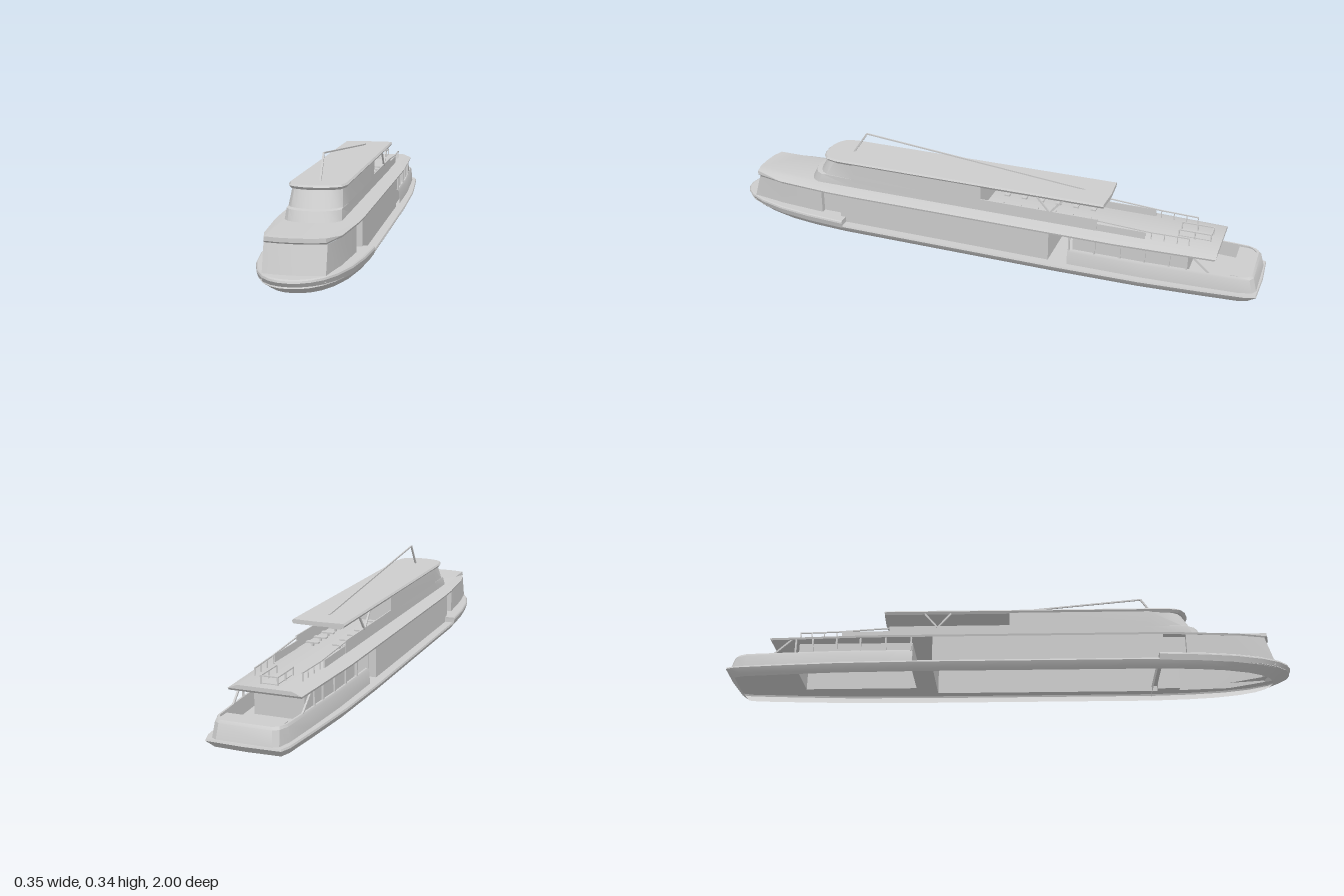
import * as THREE from 'three';
import { toCreasedNormals } from 'three/addons/utils/BufferGeometryUtils.js';

export function createModel() {
  const model = new THREE.Group();
  const grey = new THREE.MeshStandardMaterial({ color: 0xcccccc, side: THREE.DoubleSide });
  grey.name = 'light grey';

  function add(name, geometry, parent = model) {
    const mesh = new THREE.Mesh(geometry, grey);
    mesh.name = name;
    parent.add(mesh);
    return mesh;
  }
  function group(name) {
    const g = new THREE.Group();
    g.name = name;
    model.add(g);
    return g;
  }
  // half outline [x, z] running bow to stern -> full outline, mirrored in x
  const mirror = half => [...half, ...half.filter(p => p[0] > 0).reverse().map(([x, z]) => [-x, z])];
  // surface through outlines at rising heights: levels = [[y, outline], ...]
  function loft(levels, { closed = true, bottom = false, top = false } = {}) {
    const n = levels[0][1].length, pos = [], idx = [];
    for (const [y, ring] of levels) for (const [x, z] of ring) pos.push(x, y, z);
    for (let l = 0; l < levels.length - 1; l++)
      for (let i = 0; i < (closed ? n : n - 1); i++) {
        const a = l * n + i, b = l * n + (i + 1) % n;
        idx.push(a, b, a + n, b, b + n, a + n);
      }
    const cap = l => {
      const pts = levels[l][1].map(([x, z]) => new THREE.Vector2(x, z));
      const dir = THREE.ShapeUtils.isClockWise(pts) === (l === 0) ? 1 : -1;
      for (const t of THREE.ShapeUtils.triangulateShape(pts, []))
        idx.push(...(dir > 0 ? t : [t[0], t[2], t[1]]).map(i => i + l * n));
    };
    if (bottom) cap(0);
    if (top) cap(levels.length - 1);
    const g = new THREE.BufferGeometry();
    g.setAttribute('position', new THREE.Float32BufferAttribute(pos, 3));
    g.setIndex(idx);
    return toCreasedNormals(g, 0.45);
  }
  // flat horizontal plate with holes
  function plate(outline, holes, y) {
    const v = pts => pts.map(([x, z]) => new THREE.Vector2(x, -z));
    const s = new THREE.Shape(v(outline));
    for (const h of holes) s.holes.push(new THREE.Path(v(h)));
    return new THREE.ShapeGeometry(s).rotateX(-Math.PI / 2).translate(0, y, 0);
  }
  function box(name, w, h, d, x, y, z, parent) {
    return add(name, new THREE.BoxGeometry(w, h, d).translate(x, y, z), parent);
  }
  // square bar between two points
  function bar(name, a, b, t, parent) {
    const p = new THREE.Vector3(...a), q = new THREE.Vector3(...b);
    const m = add(name, new THREE.BoxGeometry(t, t, p.distanceTo(q)), parent);
    m.position.copy(p).add(q).multiplyScalar(0.5);
    m.lookAt(q);
  }

  // hull shell, open underneath
  const bow = [[0, 1], [0.03, 0.995], [0.06, 0.978], [0.09, 0.945], [0.12, 0.885], [0.147, 0.79], [0.164, 0.67], [0.174, 0.52]];
  const hull = [...bow.slice(0, -1).map(([x, z]) => [x * 0.97, z - 0.006]), [0.168, 0.52], [0.168, -0.3],
    [0.162, -0.6], [0.148, -0.8], [0.134, -0.96], [0.122, -0.995], [0, -1]];
  const shrink = (half, kx, kz) => half.map(([x, z]) => [x * kx, z > 0.5 ? 0.5 + (z - 0.5) * kz : z < -0.5 ? -0.5 + (z + 0.5) * (kz + 1) / 2 : z]);
  add('hull', loft([[0, mirror(shrink(hull, 0.88, 0.88))], [0.008, mirror(shrink(hull, 0.93, 0.91))],
    [0.027, mirror(hull)], [0.033, mirror(shrink(hull, 0.985, 0.99))]]));

  // raised bow rim
  add('bowRim', loft([[0.024, mirror(shrink(bow, 0.97, 0.97))], [0.034, mirror(shrink(bow, 0.985, 0.985))], [0.044, mirror(bow)],
    [0.05, mirror(shrink(bow, 0.99, 0.995))], [0.053, mirror(shrink(bow, 0.97, 0.98))]]));

  // main cabin with entrance recesses on both sides
  const cabin = front => mirror([[0, front], [0.05, front - 0.004], [0.094, front - 0.014], [0.115, 0.8], [0.129, 0.62],
    [0.11, 0.62], [0.11, 0.54], [0.135, 0.54], [0.135, -0.27], [0, -0.27]]);
  add('mainCabin', loft([[0.033, cabin(0.947)], [0.138, cabin(0.915)]]));

  // decks
  const house = mirror([[0.085, -0.345], [0.085, -0.75]]);
  const aftHull = mirror(shrink(hull, 0.985, 0.99));
  add('mainDeck', plate(aftHull, [cabin(0.947), house], 0.033));
  const foreDeck = mirror(shrink(bow, 0.97, 0.98));
  const foreCabin = mirror([[0, 0.942], [0.05, 0.938], [0.094, 0.928], [0.115, 0.8], [0.129, 0.62], [0.11, 0.62], [0.11, 0.54]]);
  add('foreDeck', plate(foreDeck, [foreCabin], 0.053));

  // aft house and bulwark
  add('aftHouse', loft([[0.033, house], [0.138, house]]));
  const rail = (dx, back) => {
    const h = [[0.14 - dx, -0.34], [0.138 - dx, -0.6], [0.128 - dx, -0.8], [0.12 - dx, -0.93], [0.108 - dx, back + 0.012], [0.09 - dx, back]];
    return [...h, ...h.slice().reverse().map(([x, z]) => [-x, z])];
  };
  add('sternBulwark', loft([[0.033, rail(0, -0.99)], [0.08, rail(0.004, -0.977)], [0.088, rail(0.008, -0.97)],
    [0.088, rail(0.014, -0.962)], [0.033, rail(0.014, -0.962)]], { closed: false }));
  box('sternLocker', 0.2, 0.052, 0.062, 0, 0.059, -0.931);

  // roof of the main cabin, reaching aft as the open deck
  const eave = [[0, 0.925], [0.05, 0.922], [0.092, 0.91], [0.118, 0.8], [0.134, 0.6], [0.137, 0.5], [0.137, -0.5], [0.122, -0.85], [0, -0.85]];
  const crown = eave.map(([x, z]) => [Math.min(x, 0.09), z]);
  add('mainRoof', loft([[0.137, mirror(shrink(eave, 0.985, 0.97))], [0.144, mirror(eave)], [0.157, mirror(crown)]],
    { bottom: true, top: true }));

  // upper cabin with stepped, raked, rounded front
  const upper = (front, w) => mirror([[0, front], [w * 0.3, front - 0.003], [w * 0.6, front - 0.012], [w * 0.85, front - 0.027],
    [w, front - 0.05], [0.09, 0.5], [0.09, 0], [0, 0]]);
  add('upperCabin', loft([[0.155, upper(0.703, 0.09)], [0.19, upper(0.685, 0.087)], [0.193, upper(0.664, 0.086)],
    [0.25, upper(0.63, 0.08)]]));
  const top = [[0, 0.645], [0.03, 0.642], [0.06, 0.632], [0.083, 0.614], [0.094, 0.57], [0.094, -0.45], [0, -0.455]];
  add('upperRoof', loft([[0.247, mirror(shrink(top, 0.94, 0.93))], [0.256, mirror(top)], [0.262, mirror(shrink(top, 0.95, 0.96))]],
    { bottom: true, top: true }));

  // mast and long stay
  const mast = group('mast');
  bar('mastPole', [0, 0.258, 0.54], [0, 0.342, 0.482], 0.006, mast);
  bar('mastStay', [0, 0.342, 0.482], [0, 0.262, -0.36], 0.005, mast);

  // paired side fittings
  for (const s of [1, -1]) {
    const side = group(s > 0 ? 'leftFittings' : 'rightFittings');
    box('upperBulwark', 0.004, 0.045, 0.43, s * 0.088, 0.178, -0.215, side);
    box('lowBulwark', 0.004, 0.028, 0.17, s * 0.086, 0.169, -0.515, side);
    bar('handRail', [s * 0.086, 0.195, -0.43], [s * 0.083, 0.184, -0.62], 0.004, side);
    bar('aftRail', [s * 0.083, 0.184, -0.62], [s * 0.078, 0.183, -0.75], 0.004, side);
    for (const z of [-0.62, -0.665, -0.71, -0.75]) bar('railPost', [s * 0.08, 0.155, z], [s * 0.08, 0.184, z], 0.003, side);
    // V struts under the roof
    for (const z of [-0.21, -0.305]) bar('roofStrut', [s * 0.088, 0.195, -0.258], [s * 0.088, 0.25, z], 0.006, side);
    // posts along the open aft gallery
    const posts = [-0.345, -0.435, -0.525, -0.61, -0.695, -0.755];
    posts.forEach((z, i) => bar('galleryPost', [s * (0.132 - i * 0.0025), 0.086, z], [s * (0.132 - i * 0.0025), 0.14, z], 0.006, side));
    bar('aftBrace', [s * 0.115, 0.086, -0.83], [s * 0.117, 0.14, -0.77], 0.006, side);
    // benches on the open deck
    for (let i = 0; i < 6; i++) {
      box('benchSeat', 0.045, 0.005, 0.018, s * 0.048, 0.17, -0.06 - i * 0.065, side);
      box('benchLeg', 0.006, 0.013, 0.01, s * 0.048, 0.163, -0.06 - i * 0.065, side);
    }
    // stair guard
    for (const z of [-0.705, -0.76, -0.815]) bar('guardPost', [s * 0.028, 0.155, z], [s * 0.028, 0.183, z], 0.004, side);
    bar('guardRail', [s * 0.028, 0.183, -0.705], [s * 0.028, 0.183, -0.815], 0.004, side);
  }
  bar('guardEnd', [-0.028, 0.183, -0.815], [0.028, 0.183, -0.815], 0.004);
  box('stairHatch', 0.05, 0.004, 0.105, 0, 0.158, -0.76);

  return model;
}
